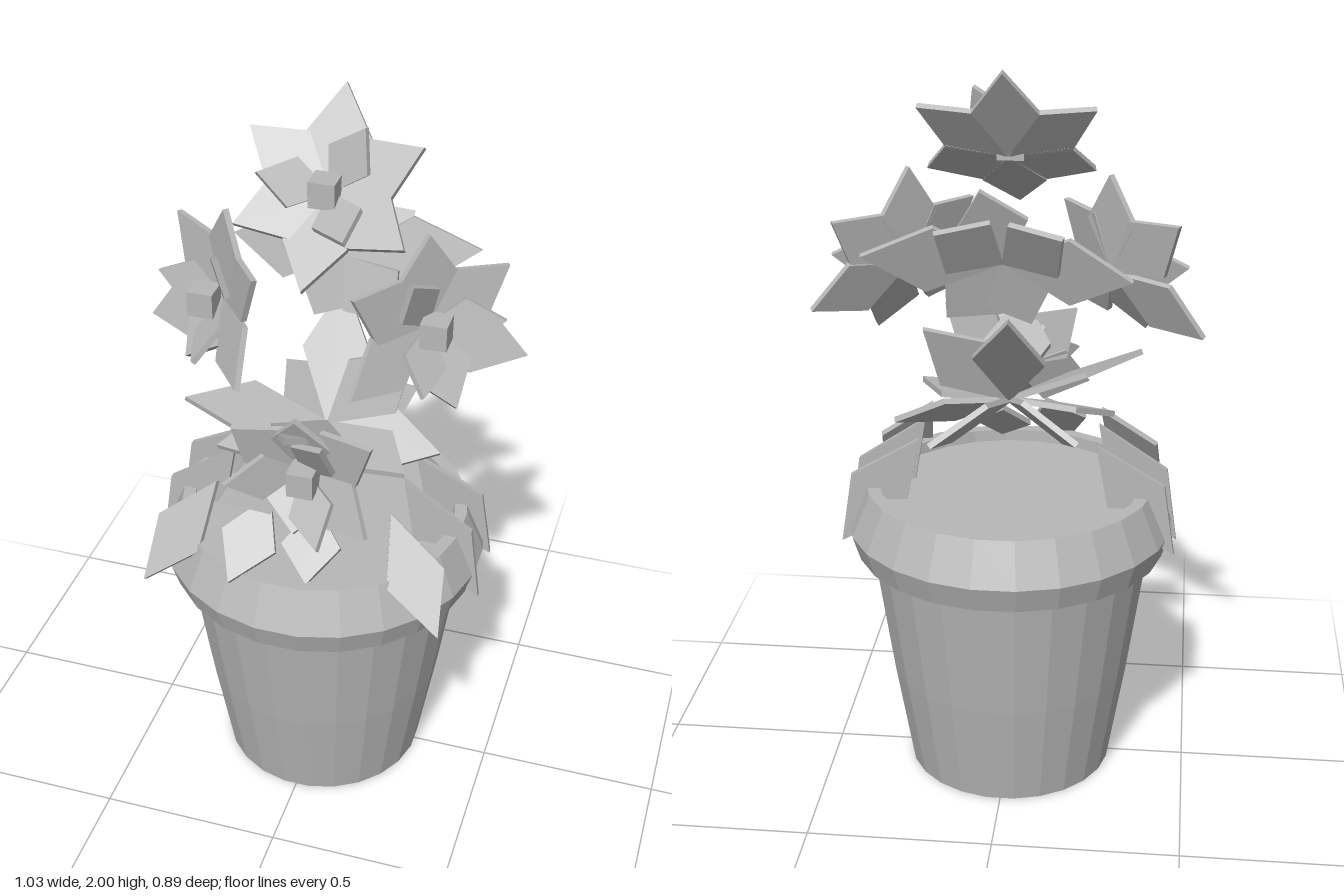
import * as THREE from 'three';

export function createModel() {
  const model = new THREE.Group();
  model.name = 'pottedPlant';
  const clay = new THREE.MeshStandardMaterial({ color: 0xb8b8b8, flatShading: true, side: THREE.DoubleSide });
  clay.name = 'plain grey';
  const V = (a) => new THREE.Vector3(...a);

  function add(parent, geometry, name) {
    const mesh = new THREE.Mesh(geometry, clay);
    mesh.name = name;
    parent.add(mesh);
    return mesh;
  }

  // Pot with a flared rim
  const profile = [[0, 0], [0.285, 0], [0.335, 0.3], [0.385, 0.65], [0.425, 0.66], [0.447, 0.73],
    [0.397, 0.848], [0.362, 0.848], [0.36, 0.8]].map(([r, y]) => new THREE.Vector2(r, y));
  add(model, new THREE.LatheGeometry(profile, 24, Math.PI / 24), 'pot');

  // Soil disc
  const soil = add(model, new THREE.CircleGeometry(0.36, 24, Math.PI / 24), 'soil');
  soil.rotation.x = -Math.PI / 2;
  soil.position.y = 0.815;

  // Unit kite shared by every petal and leaf
  const kite = new THREE.Shape([[0, 0], [0.5, 0.52], [0, 1], [-0.5, 0.52]].map(([x, y]) => new THREE.Vector2(x, y)));
  const blade = new THREE.ExtrudeGeometry(kite, { depth: 1, bevelEnabled: false });
  blade.translate(0, 0, -0.5);

  // Thin kite from base to tip, facing roughly along the normal
  function addBlade(parent, base, tip, normal, width, name) {
    const along = tip.clone().sub(base);
    const length = along.length();
    along.normalize();
    const face = normal.clone().addScaledVector(along, -normal.dot(along)).normalize();
    const side = along.clone().cross(face);
    const mesh = add(parent, blade, name);
    mesh.quaternion.setFromRotationMatrix(new THREE.Matrix4().makeBasis(side, along, face));
    mesh.scale.set(width, length, 0.016);
    mesh.position.copy(base);
  }

  // Cupped flower: outer petals as [angle, radius], three inner petals, a cube in the middle
  function addFlower(name, at, facing, cup, outer, innerAngle, heart) {
    const flower = new THREE.Group();
    flower.name = name;
    const centre = V(at);
    const n = V(facing).normalize();
    const u = new THREE.Vector3(0, 1, 0).cross(n).normalize();
    const v = n.clone().cross(u);
    function petal(degrees, radius, lift, width, part) {
      const a = THREE.MathUtils.degToRad(degrees);
      const tip = centre.clone().addScaledVector(u, Math.cos(a) * radius)
        .addScaledVector(v, Math.sin(a) * radius).addScaledVector(n, lift);
      addBlade(flower, centre, tip, n, width, part);
    }
    for (const [degrees, radius] of outer) petal(degrees, radius, cup, 0.17, 'petal');
    for (let i = 0; i < 3; i++) petal(innerAngle + i * 120, 0.17, cup + 0.05, 0.13, 'innerPetal');
    add(flower, new THREE.BoxGeometry(0.07, 0.07, 0.07), 'flowerHeart').position.copy(V(heart));
    model.add(flower);
  }
  addFlower('topFlower', [0, 1.765, -0.05], [0, 0.67, 0.74], 0.05,
    [[90, 0.27], [30, 0.26], [-30, 0.26], [-92, 0.27], [-150, 0.25], [150, 0.26]], 60, [-0.005, 1.785, -0.02]);
  addFlower('leftFlower', [0.27, 1.46, 0], [0.65, 0.25, 0.7], 0.06,
    [[90, 0.25], [30, 0.25], [-27, 0.28], [-82, 0.22], [-155, 0.29], [150, 0.26]], 0, [0.305, 1.47, 0.04]);
  addFlower('rightFlower', [-0.27, 1.45, 0], [-0.65, 0.25, 0.7], 0.06,
    [[88, 0.25], [145, 0.26], [215, 0.29], [262, 0.19], [328, 0.28], [35, 0.25]], 60, [-0.315, 1.455, 0.04]);
  addFlower('frontFlower', [0.01, 1.1, 0.21], [0, 0.12, 0.99], 0.1,
    [[90, 0.19], [36, 0.25], [-30, 0.23], [-88, 0.14], [-158, 0.22], [140, 0.22]], 60, [0.025, 1.11, 0.27]);

  // Cluster of leaves sharing one base; tilt turns the faces outward to the sides
  function addLeaves(name, base, normal, tilt, tips) {
    const cluster = new THREE.Group();
    cluster.name = name;
    for (const tip of tips) {
      const facing = V([tip[0] * tilt, normal[1], normal[2]]);
      addBlade(cluster, V(base), V(tip), facing, 0.19, 'leaf');
    }
    model.add(cluster);
  }
  addLeaves('rearLeaves', [0, 1.52, -0.18], [0, 0.28, 0.96], 0, [
    [0.35, 1.55, -0.26], [-0.33, 1.5, -0.25], [0.05, 1.72, -0.25],
    [0.16, 1.62, -0.29], [-0.16, 1.62, -0.31], [-0.07, 1.35, -0.14], [0.15, 1.36, -0.14],
  ]);
  addLeaves('middleLeaves', [0, 1.09, -0.02], [0, 0.8, 0.6], 3, [
    [-0.35, 1.19, 0.12], [0.31, 1.03, -0.05], [-0.28, 1.02, 0.08], [0.22, 1.31, -0.1], [0.26, 1.08, 0.14],
    [-0.2, 1.08, -0.3], [0.18, 1.06, -0.3], [-0.02, 1.39, -0.26], [0, 1.27, 0.34],
  ]);

  // Drooping leaves over the rim, both sides
  const drooping = new THREE.Group();
  drooping.name = 'droopingLeaves';
  for (const s of [-1, 1]) {
    addBlade(drooping, V([s * 0.24, 1.0, 0.05]), V([s * 0.46, 0.66, 0.06]), V([0, 0.05, 1]), 0.18, 'sideLeaf');
    addBlade(drooping, V([s * 0.24, 0.99, -0.08]), V([s * 0.455, 0.69, -0.1]), V([0, 0.1, 1]), 0.18, 'rearSideLeaf');
    addBlade(drooping, V([s * 0.24, 0.99, 0.19]), V([s * 0.41, 0.72, 0.33]), V([s * 0.3, 0.4, 0.87]), 0.16, 'cornerLeaf');
  }
  // Short leaves at the front
  addBlade(drooping, V([-0.08, 1.0, 0.22]), V([-0.14, 0.83, 0.4]), V([0, 0.7, 0.7]), 0.16, 'frontLeaf');
  addBlade(drooping, V([0.04, 0.98, 0.2]), V([0.06, 0.84, 0.36]), V([0, 0.7, 0.7]), 0.16, 'frontLeaf');
  model.add(drooping);

  return model;
}
